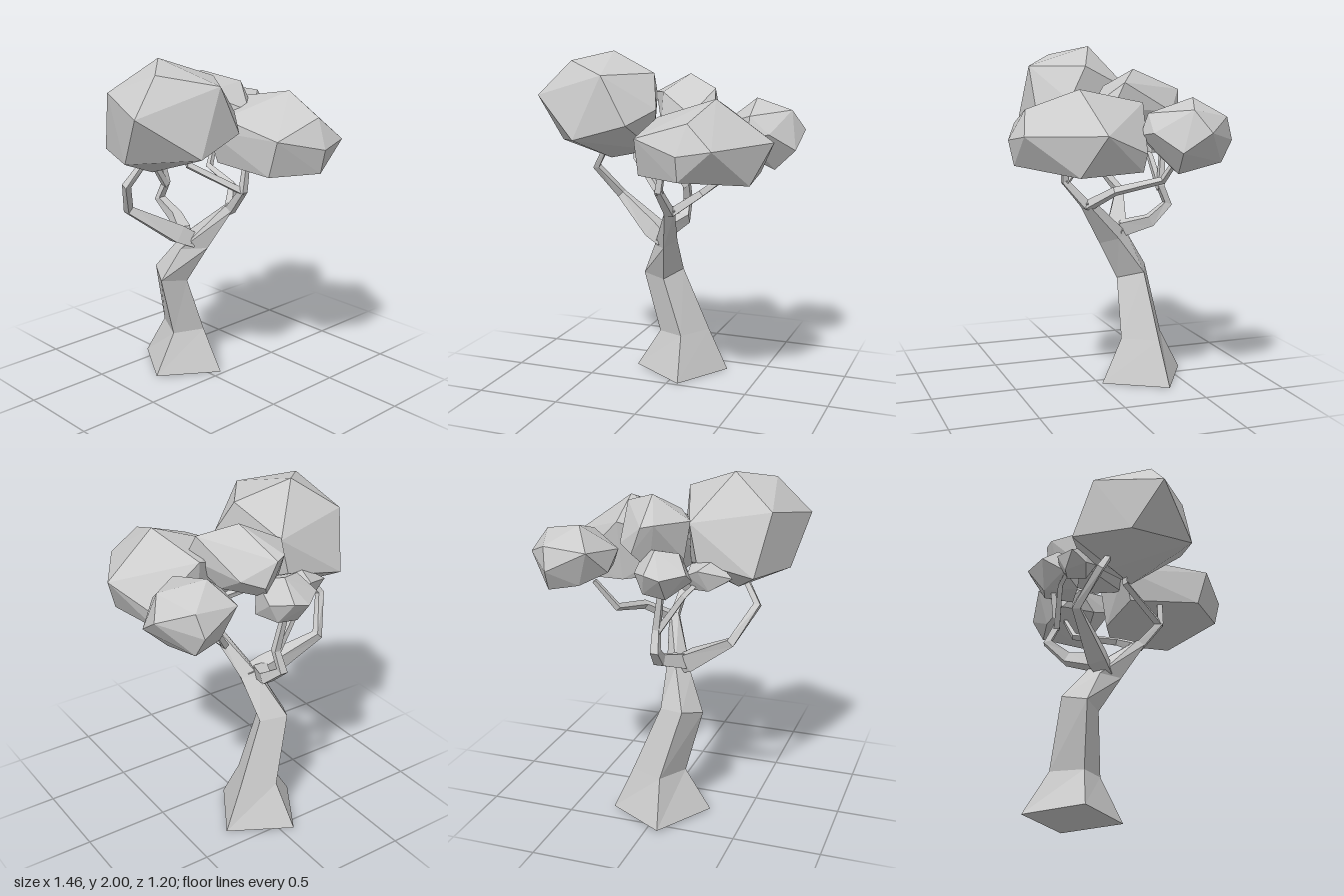
import * as THREE from 'three';
import { ConvexGeometry } from 'three/addons/geometries/ConvexGeometry.js';

const V = (p) => new THREE.Vector3(p[0], p[1], p[2]);
const material = new THREE.MeshStandardMaterial({ color: 0xcccccc, flatShading: true });

function addMesh(parent, name, geometry) {
  const mesh = new THREE.Mesh(geometry, material);
  mesh.name = name;
  parent.add(mesh);
}

// Skin four-cornered rings (counter-clockwise seen from the tip) and cap both ends
function loft(rings) {
  const pos = [];
  const quad = (a, b, c, d) => [a, b, c, a, c, d].forEach((p) => pos.push(p.x, p.y, p.z));
  for (let i = 0; i < rings.length - 1; i++) {
    const lo = rings[i], hi = rings[i + 1];
    for (let j = 0; j < 4; j++) {
      const k = (j + 1) % 4;
      quad(lo[j], lo[k], hi[k], hi[j]);
    }
  }
  quad(...[...rings[0]].reverse());
  quad(...rings[rings.length - 1]);
  const g = new THREE.BufferGeometry();
  g.setAttribute('position', new THREE.Float32BufferAttribute(pos, 3));
  g.computeVertexNormals();
  return g;
}

// Tapered square limb through points [x, y, z, radius]
function limb(points) {
  const pts = points.map(V);
  return loft(pts.map((p, i) => {
    const t = pts[Math.min(i + 1, pts.length - 1)].clone().sub(pts[Math.max(i - 1, 0)]).normalize();
    const ref = Math.abs(t.z) > 0.85 ? new THREE.Vector3(1, 0, 0) : new THREE.Vector3(0, 0, 1);
    const a = new THREE.Vector3().crossVectors(t, ref).normalize();
    const b = new THREE.Vector3().crossVectors(t, a);
    const r = points[i][3];
    return [0, 1, 2, 3].map((k) => {
      const ang = (k * Math.PI) / 2 + Math.PI / 4;
      return p.clone().addScaledVector(a, r * Math.cos(ang)).addScaledVector(b, r * Math.sin(ang));
    });
  }));
}

// Trunk rings: front, right, back and left corner of each level
const trunkRings = [
  [[0.065, 0, -0.02], [0.275, 0, -0.37], [-0.07, 0.01, -0.577], [-0.28, 0.01, -0.23]],
  [[0.04, 0.26, -0.15], [0.16, 0.26, -0.346], [-0.037, 0.265, -0.435], [-0.13, 0.25, -0.24]],
  [[-0.08, 0.61, -0.165], [0, 0.65, -0.31], [-0.15, 0.67, -0.375], [-0.23, 0.625, -0.23]],
  [[-0.03, 0.84, -0.035], [0.02, 0.87, -0.14], [-0.06, 0.89, -0.22], [-0.135, 0.825, -0.16]],
  [[0.03, 1.09, 0.11], [0.085, 1.1, 0.08], [0.06, 1.12, 0.04], [0.02, 1.11, 0.06]],
];

const branches = {
  rightBranch: [[-0.05, 0.87, -0.13, 0.06], [-0.14, 0.92, -0.18, 0.075], [-0.41, 1.1, -0.3, 0.033],
    [-0.52, 1.29, -0.17, 0.027], [-0.42, 1.44, -0.11, 0.02]],
  backBranch: [[-0.06, 0.86, -0.12, 0.05], [-0.085, 0.915, -0.2, 0.06], [-0.01, 0.965, -0.35, 0.045],
    [-0.03, 1.06, -0.47, 0.033], [-0.02, 1.17, -0.42, 0.027], [-0.06, 1.42, -0.45, 0.02]],
  backRightTwig: [[-0.02, 1.15, -0.42, 0.025], [-0.17, 1.37, -0.4, 0.02], [-0.25, 1.46, -0.34, 0.015]],
  leftBranch: [[0.05, 1.08, 0.07, 0.035], [0.19, 1.18, -0.05, 0.027], [0.25, 1.24, -0.32, 0.023], [0.36, 1.4, -0.38, 0.016]],
  frontBranch: [[0.05, 1.08, 0.07, 0.035], [0.03, 1.23, 0.2, 0.027], [0.06, 1.42, 0.2, 0.02]],
  frontRightTwig: [[0.04, 1.22, 0.2, 0.025], [-0.19, 1.38, -0.02, 0.022], [-0.2, 1.5, -0.03, 0.018]],
};

// Faceted leaf clumps, each the hull of a few corners
const clumps = {
  rightFoliage: [
    [-0.355, 2, -0.075], [-0.54, 1.95, 0.12], [-0.73, 1.75, 0.18], [-0.43, 1.52, 0.357], [-0.12, 1.61, 0.32],
    [0, 1.69, 0.157], [-0.055, 1.885, 0.043], [-0.265, 1.885, 0.325], [-0.6, 1.82, -0.215], [-0.535, 1.48, -0.33],
    [-0.155, 1.74, -0.267], [-0.2, 1.53, -0.28], [-0.66, 1.47, 0], [-0.39, 1.36, -0.1], [-0.07, 1.44, 0.02]],
  frontFoliage: [
    [0.375, 1.77, 0.224], [0.31, 1.665, 0.51], [0.275, 1.5, 0.596], [0.275, 1.36, 0.565], [0, 1.57, 0.49],
    [0, 1.36, 0.43], [0.46, 1.53, 0.557], [0.69, 1.54, 0.17], [0.59, 1.315, 0.29],
    [-0.02, 1.64, 0.087], [0.57, 1.43, -0.095], [0.55, 1.33, -0.08], [0.31, 1.69, -0.17], [-0.04, 1.56, -0.02],
    [0, 1.37, 0.02], [0.3, 1.34, -0.12]],
  middleFoliage: [
    [0.08, 1.87, -0.2], [0.275, 1.8, -0.075], [0.18, 1.66, 0.09], [0.2, 1.63, -0.39], [-0.025, 1.76, -0.47],
    [0.04, 1.75, -0.5], [0.1, 1.6, -0.48], [-0.16, 1.75, -0.26], [-0.04, 1.77, -0.06], [-0.03, 1.6, 0],
    [0.295, 1.66, 0], [-0.13, 1.54, -0.28], [0.08, 1.47, -0.03], [0.2, 1.52, -0.2], [0.03, 1.5, -0.4]],
  leftFoliage: [
    [0.425, 1.72, -0.42], [0.58, 1.62, -0.555], [0.555, 1.49, -0.6], [0.33, 1.6, -0.557], [0.73, 1.545, -0.4],
    [0.665, 1.665, -0.32], [0.71, 1.44, -0.24], [0.58, 1.54, -0.125], [0.46, 1.64, -0.14], [0.25, 1.57, -0.29],
    [0.58, 1.315, -0.27], [0.57, 1.37, -0.53], [0.4, 1.4, -0.5], [0.32, 1.45, -0.2], [0.46, 1.52, -0.095],
    [0.27, 1.46, -0.4]],
  backFoliage: [
    [-0.22, 1.52, -0.51], [-0.1, 1.5, -0.6], [-0.01, 1.52, -0.59], [0.08, 1.5, -0.49], [-0.03, 1.63, -0.47],
    [-0.15, 1.61, -0.42], [0.07, 1.6, -0.35], [-0.21, 1.45, -0.38], [-0.1, 1.37, -0.5], [0.03, 1.39, -0.5],
    [0.06, 1.38, -0.33], [-0.1, 1.39, -0.3], [-0.12, 1.55, -0.28]],
  backRightFoliage: [
    [-0.42, 1.47, -0.33], [-0.27, 1.52, -0.38], [-0.25, 1.52, -0.42], [-0.19, 1.49, -0.41], [-0.17, 1.52, -0.28],
    [-0.3, 1.55, -0.24], [-0.36, 1.42, -0.25], [-0.3, 1.4, -0.37], [-0.2, 1.4, -0.36], [-0.22, 1.39, -0.25],
    [-0.26, 1.46, -0.19]],
};

export function createModel() {
  const tree = new THREE.Group();
  tree.name = 'tree';

  addMesh(tree, 'trunk', loft(trunkRings.map((ring) => ring.map(V))));
  for (const [name, points] of Object.entries(branches)) addMesh(tree, name, limb(points));
  for (const [name, corners] of Object.entries(clumps)) addMesh(tree, name, new ConvexGeometry(corners.map(V)));

  return tree;
}
